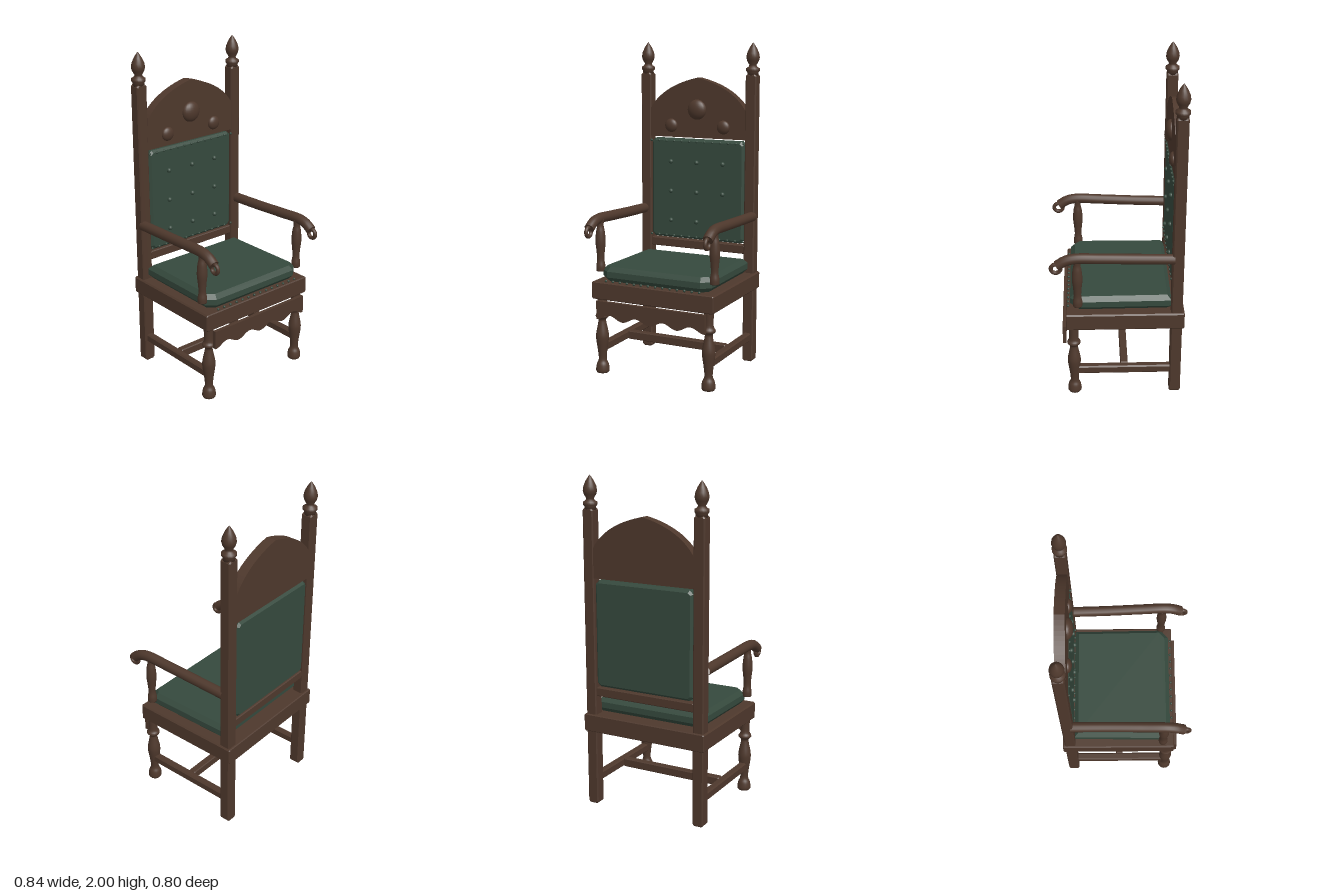
import * as THREE from 'three';

export function createModel() {
  const chair = new THREE.Group();
  chair.name = 'highBackArmchair';
  const wood = new THREE.MeshStandardMaterial({ name: 'dark wood', color: 0x4e382c });
  const leather = new THREE.MeshStandardMaterial({ name: 'green leather', color: 0x35493d });

  const add = (name, geometry, material, x = 0, y = 0, z = 0) => {
    const mesh = new THREE.Mesh(geometry, material);
    mesh.name = name;
    mesh.position.set(x, y, z);
    chair.add(mesh);
    return mesh;
  };

  // Box with every edge chamfered by b, centred on its origin
  const block = (w, h, d, b = 0.005) => {
    const x = w / 2 - b, y = h / 2 - b;
    const outline = [[-x + b, -y], [x - b, -y], [x, -y + b], [x, y - b], [x - b, y], [-x + b, y], [-x, y - b], [-x, -y + b]];
    const geometry = new THREE.ExtrudeGeometry(new THREE.Shape(outline.map(p => new THREE.Vector2(...p))), {
      depth: d - 2 * b, bevelThickness: b, bevelSize: b, bevelSegments: 1,
    });
    return geometry.translate(0, 0, -d / 2 + b);
  };

  // Turned part from [radius, height] pairs, smoothed by a spline
  const turned = (profile, smooth = true) => {
    let points = profile.map(p => new THREE.Vector2(...p));
    if (smooth) {
      points = new THREE.SplineCurve(points).getPoints(profile.length * 4);
      points.unshift(new THREE.Vector2(0, points[0].y));
      points.push(new THREE.Vector2(0, points[points.length - 1].y));
    }
    return new THREE.LatheGeometry(points, 20);
  };

  // Evenly spaced row of small domed studs
  const studGeometry = new THREE.SphereGeometry(0.008, 8, 6);
  const studRow = (name, count, halfWidth, y, z) => {
    for (let i = 0; i < count; i++) {
      add(name, studGeometry, leather, -halfWidth + (2 * halfWidth * i) / (count - 1), y, z);
    }
  };

  const frontLeg = turned([
    [0.036, 0], [0.042, 0.015], [0.037, 0.05], [0.025, 0.08], [0.028, 0.13], [0.039, 0.21],
    [0.038, 0.25], [0.026, 0.31], [0.024, 0.335], [0.039, 0.352], [0.039, 0.365], [0.028, 0.39], [0.03, 0.48],
  ]);
  const armSupport = turned([
    [0.027, 0.63], [0.028, 0.66], [0.022, 0.70], [0.025, 0.75], [0.031, 0.81], [0.027, 0.87], [0.02, 0.91], [0.024, 0.95],
  ]);
  const finial = turned([
    [0, 1.8], [0.034, 1.8], [0.034, 1.82], [0.042, 1.83], [0.042, 1.845], [0.026, 1.855], [0.022, 1.865],
    [0.036, 1.89], [0.041, 1.91], [0.037, 1.935], [0.024, 1.965], [0.008, 1.99], [0, 2],
  ], false);

  // Parts that mirror left and right
  for (const [side, s] of [['left', 1], ['right', -1]]) {
    add(side + 'BackPost', block(0.07, 1.81, 0.068, 0.007), wood, s * 0.36, 0.905, -0.35);
    add(side + 'Finial', finial, wood, s * 0.36, 0, -0.35);
    add(side + 'FrontLeg', frontLeg, wood, s * 0.358, 0, 0.265);
    add(side + 'ArmSupport', armSupport, wood, s * 0.38, 0, 0.237);
    add(side + 'SideStretcher', block(0.045, 0.053, 0.58), wood, s * 0.358, 0.16, -0.04);

    // Armrest sweeping forward and drooping at the hand
    const path = new THREE.CatmullRomCurve3([
      [0.375, 0.934, -0.33], [0.378, 0.941, -0.1], [0.383, 0.949, 0.1],
      [0.387, 0.953, 0.25], [0.388, 0.94, 0.305], [0.388, 0.91, 0.352],
    ].map(([x, y, z]) => new THREE.Vector3(s * x, y, z)));
    add(side + 'Armrest', new THREE.TubeGeometry(path, 36, 0.031, 14), wood);
    const end = path.getPoint(1);
    const cap = add(side + 'ArmrestEnd', new THREE.CircleGeometry(0.031, 14), wood, end.x, end.y, end.z);
    cap.lookAt(end.clone().add(path.getTangent(1)));
    const scroll = add(side + 'ArmScroll', new THREE.TorusGeometry(0.028, 0.012, 10, 24), wood, s * 0.388, 0.89, 0.36);
    scroll.rotation.y = Math.PI / 2;
  }
  add('crossStretcher', block(0.68, 0.053, 0.045), wood, 0, 0.16, -0.04);

  // Seat frame and scalloped apron
  add('seatFrame', block(0.81, 0.107, 0.705), wood, 0, 0.522, -0.044);
  const apron = new THREE.Shape();
  apron.moveTo(0.36, 0.465);
  apron.lineTo(-0.36, 0.465);
  for (let i = 0; i <= 64; i++) {
    const x = -0.36 + (0.72 * i) / 64;
    apron.lineTo(x, 0.367 - 0.016 * Math.cos((x / 0.18) * Math.PI * 2));
  }
  add('apron', new THREE.ExtrudeGeometry(apron, { depth: 0.022, bevelEnabled: false }), wood, 0, 0, 0.309);

  // Seat cushion with cut corners and bevelled rims
  const cushion = new THREE.Shape([
    [-0.30, -0.258], [0.30, -0.258], [0.338, -0.225], [0.332, 0.295], [-0.332, 0.295], [-0.338, -0.225],
  ].map(p => new THREE.Vector2(...p)));
  const cushionGeometry = new THREE.ExtrudeGeometry(cushion, {
    depth: 0.036, bevelThickness: 0.027, bevelSize: 0.025, bevelSegments: 1,
  });
  cushionGeometry.rotateX(-Math.PI / 2);
  add('seatCushion', cushionGeometry, leather, 0, 0.604, 0);
  studRow('seatStud', 14, 0.31, 0.585, 0.296);

  // Upholstered back with studs and buttons
  add('backRail', block(0.66, 0.055, 0.05), wood, 0, 0.719, -0.35);
  add('backPanel', block(0.64, 0.64, 0.065, 0.014), leather, 0, 1.076, -0.35);
  for (const y of [0.77, 1.382]) studRow('backStud', 13, 0.32, y, -0.316);
  const button = new THREE.SphereGeometry(0.015, 12, 8);
  for (const x of [-0.18, 0, 0.18]) {
    for (const y of [0.87, 1.06, 1.25]) add('backButton', button, leather, x, y, -0.314);
  }

  // Arched crest rail with domed bosses
  const crest = new THREE.Shape();
  crest.moveTo(-0.328, 1.407);
  crest.lineTo(0.328, 1.407);
  crest.lineTo(0.328, 1.585);
  crest.quadraticCurveTo(0.24, 1.73, 0, 1.783);
  crest.quadraticCurveTo(-0.24, 1.73, -0.328, 1.585);
  const crestGeometry = new THREE.ExtrudeGeometry(crest, { depth: 0.06, bevelEnabled: false, curveSegments: 16 });
  add('crestRail', crestGeometry, wood, 0, 0, -0.38);
  for (const [x, y, r] of [[0, 1.585, 0.063], [-0.18, 1.48, 0.043], [0.18, 1.48, 0.043]]) {
    add('crestBoss', new THREE.SphereGeometry(r, 20, 14), wood, x, y, -0.32).scale.z = 0.58;
  }

  return chair;
}
